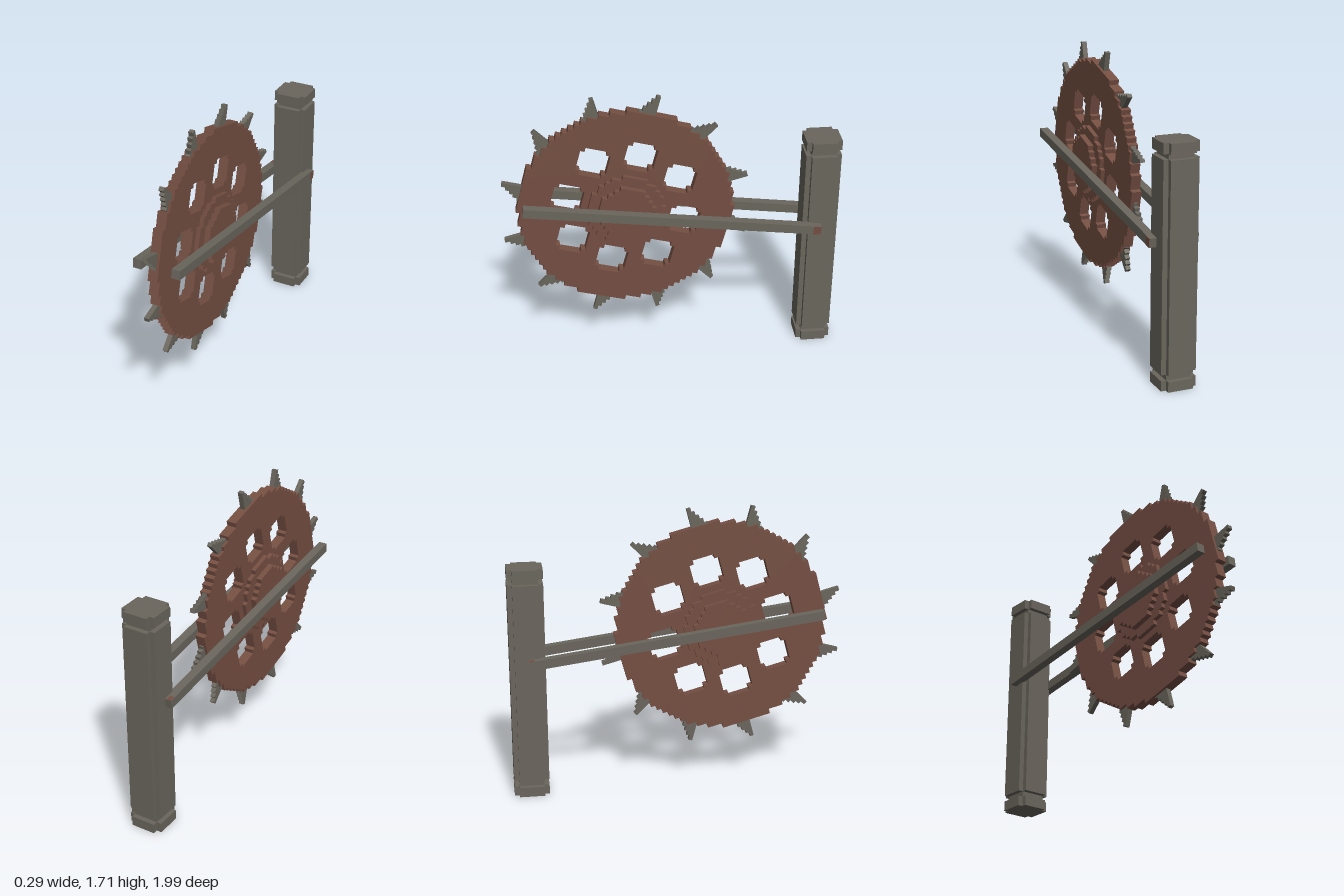
import * as THREE from 'three';

const CELL = 0.03;

// Disc outline made of square steps
function steppedDisc(r) {
  const rows = Math.round((2 * r) / CELL);
  const odd = rows % 2 ? 0.5 : 0;
  const side = [];
  for (let j = 0; j < rows; j++) {
    const y0 = -r + j * CELL, ym = y0 + CELL / 2;
    const w = (Math.round(Math.sqrt(r * r - ym * ym) / CELL - odd) + odd) * CELL;
    side.push([w, y0], [w, y0 + CELL]);
  }
  const left = side.map(([x, y]) => [-x, y]).reverse();
  return new THREE.Shape([...side, ...left].map(([x, y]) => new THREE.Vector2(x, y)));
}

// Square hole with notched corners
function notchedHole(cx, cy, h, n) {
  const pts = [];
  for (let q = 0; q < 4; q++) {
    const c = Math.round(Math.cos(q * Math.PI / 2)), s = Math.round(Math.sin(q * Math.PI / 2));
    for (const [x, y] of [[h, h - n], [h - n, h - n], [h - n, h]]) {
      pts.push(new THREE.Vector2(cx + x * c - y * s, cy + x * s + y * c));
    }
  }
  return new THREE.Path(pts);
}

// Saw tooth: straight on one side, stepped on the other
function toothShape() {
  const pts = [new THREE.Vector2(0.02, 0.58), new THREE.Vector2(0.02, 0.745)];
  const steps = 5, rise = 0.027;
  for (let i = 0; i < steps; i++) {
    const x = -0.004 - i * 0.019, y = 0.745 - i * rise;
    pts.push(new THREE.Vector2(x, y), new THREE.Vector2(x, y - rise));
  }
  pts.push(new THREE.Vector2(-0.08, 0.58));
  return new THREE.Shape(pts);
}

// Extrusion centred on its own thickness
function slab(shape, thickness) {
  const g = new THREE.ExtrudeGeometry(shape, { depth: thickness, bevelEnabled: false });
  return g.translate(0, 0, -thickness / 2);
}

export function createModel() {
  const stone = new THREE.MeshStandardMaterial({ color: 0x6a665d });
  stone.name = 'stoneGrey';
  const rust = new THREE.MeshStandardMaterial({ color: 0x754f42 });
  rust.name = 'rustBrown';

  const model = new THREE.Group();
  model.name = 'sawWheelOnPost';
  const add = (parent, name, geometry, material, x = 0, y = 0, z = 0) => {
    const m = new THREE.Mesh(geometry, material);
    m.name = name;
    m.position.set(x, y, z);
    parent.add(m);
    return m;
  };

  // Post: cross-shaped shaft and caps joined by narrower necks
  const post = new THREE.Group();
  post.name = 'post';
  post.position.z = -0.895;
  model.add(post);
  const cross = new THREE.Shape(notchedHole(0, 0, 0.105, 0.03).getPoints());
  for (const [name, y0, y1] of [['bottomCap', 0, 0.06], ['shaft', 0.095, 1.31], ['topCap', 1.34, 1.4]]) {
    const g = slab(cross, y1 - y0).rotateX(-Math.PI / 2);
    add(post, name, g, stone, 0, (y0 + y1) / 2, 0);
  }
  for (const [name, y0, y1] of [['lowerNeck', 0.06, 0.095], ['upperNeck', 1.31, 1.34]]) {
    add(post, name, new THREE.BoxGeometry(0.15, y1 - y0, 0.15), stone, 0, (y0 + y1) / 2, 0);
  }

  // Pair of sloping arms from the post past the wheel
  for (const side of [1, -1]) {
    const arm = new THREE.Group();
    arm.name = side > 0 ? 'leftArm' : 'rightArm';
    arm.position.set(side * 0.12, 0.95, -0.012);
    arm.rotation.x = -0.13;
    model.add(arm);
    add(arm, 'beam', new THREE.BoxGeometry(0.052, 0.055, 1.775), stone);
    // Rusty patch at the post end
    if (side > 0) add(arm, 'rustPatch', new THREE.BoxGeometry(0.004, 0.053, 0.045), rust, 0.026, 0, -0.864);
    else add(arm, 'rustPatch', new THREE.BoxGeometry(0.03, 0.004, 0.035), rust, -0.01, 0.027, -0.868);
  }

  // Wheel, turned to face sideways and tilted
  const wheel = new THREE.Group();
  wheel.name = 'sawWheel';
  wheel.position.set(0, 0.99, 0.265);
  wheel.rotation.set(0, Math.PI / 2, -Math.PI / 12);
  model.add(wheel);

  const disc = steppedDisc(0.63);
  for (let i = 0; i < 8; i++) {
    const a = (i * Math.PI) / 4;
    const r = i % 2 ? 0.37 : 0.355;
    disc.holes.push(notchedHole(r * Math.cos(a), r * Math.sin(a), 0.09, 0.026));
  }
  add(wheel, 'disc', slab(disc, 0.06), rust);

  // Stepped hub on both faces
  add(wheel, 'outerHub', slab(steppedDisc(0.225), 0.112), rust);
  add(wheel, 'innerHub', slab(steppedDisc(0.165), 0.18), rust);

  // Ring of teeth
  const tooth = slab(toothShape(), 0.03);
  for (let i = 0; i < 12; i++) {
    add(wheel, 'tooth', tooth, stone).rotation.z = (i * Math.PI) / 6;
  }
  return model;
}
